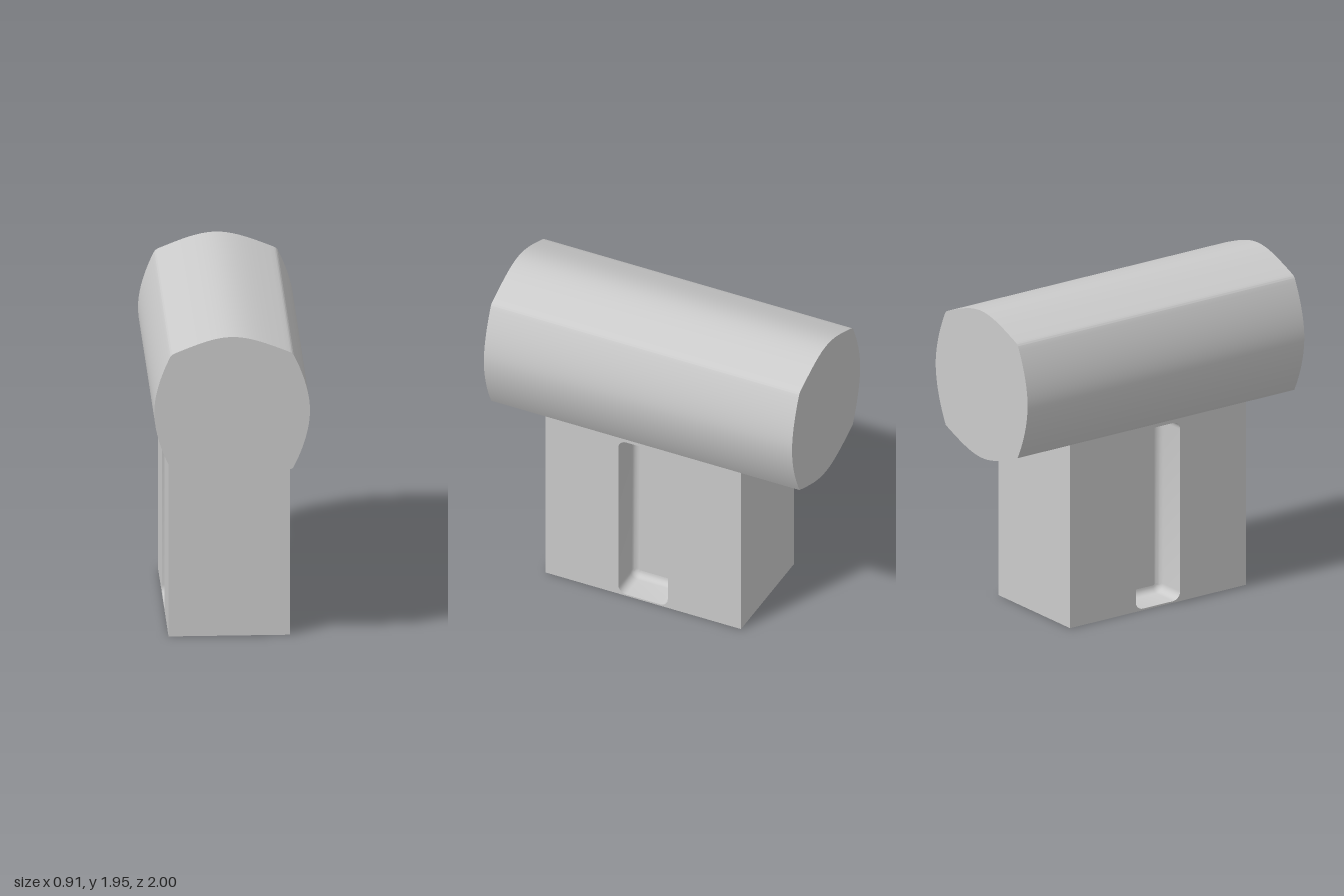
import * as THREE from 'three';
import { toCreasedNormals } from 'three/addons/utils/BufferGeometryUtils.js';

const material = new THREE.MeshStandardMaterial({ color: 0xcccccc });

// Handle block and slot dimensions
const W = 0.71, L = 1.27, H = 1.135, Z = 0.015;
const SLOT = { w: 0.32, y0: 0.01, y1: 1.115, radius: 0.05, depth: 0.2, fillet: 0.04 };

function add(parent, name, geometry) {
  const mesh = new THREE.Mesh(geometry, material);
  mesh.name = name;
  parent.add(mesh);
  return mesh;
}

// Head: four bulging sides, extruded front to back
function headGeometry() {
  const s = new THREE.Shape();
  s.moveTo(0, 1.035);
  s.bezierCurveTo(0.1, 1.035, 0.2, 1.07, 0.355, 1.135);
  s.bezierCurveTo(0.41, 1.24, 0.455, 1.37, 0.455, 1.49);
  s.bezierCurveTo(0.455, 1.6, 0.41, 1.73, 0.362, 1.826);
  s.quadraticCurveTo(0.355, 1.84, 0.335, 1.849);
  s.bezierCurveTo(0.2, 1.905, 0.1, 1.945, 0, 1.945);
  s.bezierCurveTo(-0.1, 1.945, -0.2, 1.905, -0.335, 1.849);
  s.quadraticCurveTo(-0.355, 1.84, -0.362, 1.826);
  s.bezierCurveTo(-0.41, 1.73, -0.455, 1.6, -0.455, 1.49);
  s.bezierCurveTo(-0.455, 1.37, -0.41, 1.24, -0.355, 1.135);
  s.bezierCurveTo(-0.2, 1.07, -0.1, 1.035, 0, 1.035);
  const g = new THREE.ExtrudeGeometry(s, { depth: 2, bevelEnabled: false, curveSegments: 16 });
  g.translate(0, 0, -1);
  return toCreasedNormals(g, 0.5);
}

// Counter-clockwise rounded rectangle of the slot, shrunk by an inset
function slotRing(inset) {
  const r = SLOT.radius - inset, cx = SLOT.w / 2 - SLOT.radius;
  const lo = SLOT.y0 + SLOT.radius, hi = SLOT.y1 - SLOT.radius;
  const corners = [[cx, lo, -1], [cx, hi, 0], [-cx, hi, 1], [-cx, lo, 2]];
  const points = [];
  for (const [x, y, quarter] of corners) {
    for (let i = 0; i <= 6; i++) {
      const a = (quarter + i / 6) * Math.PI / 2;
      points.push(new THREE.Vector2(x + r * Math.cos(a), y + r * Math.sin(a)));
    }
  }
  return points;
}

// Slot walls with a filleted inner edge
function slotWallGeometry() {
  const { depth, fillet } = SLOT;
  const rings = [[0, 0]];
  for (let i = 0; i <= 6; i++) {
    const a = i / 6 * Math.PI / 2;
    rings.push([fillet * (1 - Math.cos(a)), depth - fillet + fillet * Math.sin(a)]);
  }
  const position = [], index = [];
  let n = 0;
  rings.forEach(([inset, d], k) => {
    const ring = slotRing(inset);
    n = ring.length;
    ring.forEach((p, j) => {
      position.push(p.x, p.y, -d);
      if (k === rings.length - 1) return;
      const a = k * n + j, b = k * n + (j + 1) % n;
      index.push(a, b, a + n, b, b + n, a + n);
    });
  });
  const g = new THREE.BufferGeometry();
  g.setAttribute('position', new THREE.Float32BufferAttribute(position, 3));
  g.setIndex(index);
  return toCreasedNormals(g, 0.7);
}

// Side of the handle: flat face with a recessed slot
function handleSide(name) {
  const side = new THREE.Group();
  side.name = name;
  const face = new THREE.Shape();
  face.moveTo(-L / 2, 0);
  face.lineTo(L / 2, 0);
  face.lineTo(L / 2, H);
  face.lineTo(-L / 2, H);
  face.holes.push(new THREE.Path(slotRing(0)));
  add(side, 'sideFace', new THREE.ShapeGeometry(face));
  add(side, 'slotWall', slotWallGeometry());
  const floor = new THREE.ShapeGeometry(new THREE.Shape(slotRing(SLOT.fillet)));
  add(side, 'slotFloor', floor).position.z = -SLOT.depth;
  return side;
}

export function createModel() {
  const model = new THREE.Group();
  model.name = 'hammer';
  add(model, 'head', headGeometry());

  const handle = new THREE.Group();
  handle.name = 'handle';
  handle.position.z = Z;
  for (const s of [1, -1]) {
    const side = handleSide(s > 0 ? 'leftSide' : 'rightSide');
    side.rotation.y = s * Math.PI / 2;
    side.position.x = s * W / 2;
    handle.add(side);

    const end = add(handle, s > 0 ? 'frontEnd' : 'backEnd', new THREE.PlaneGeometry(W, H));
    end.position.set(0, H / 2, s * L / 2);
    if (s < 0) end.rotation.y = Math.PI;
  }
  add(handle, 'base', new THREE.PlaneGeometry(W, L)).rotation.x = Math.PI / 2;
  model.add(handle);
  return model;
}
